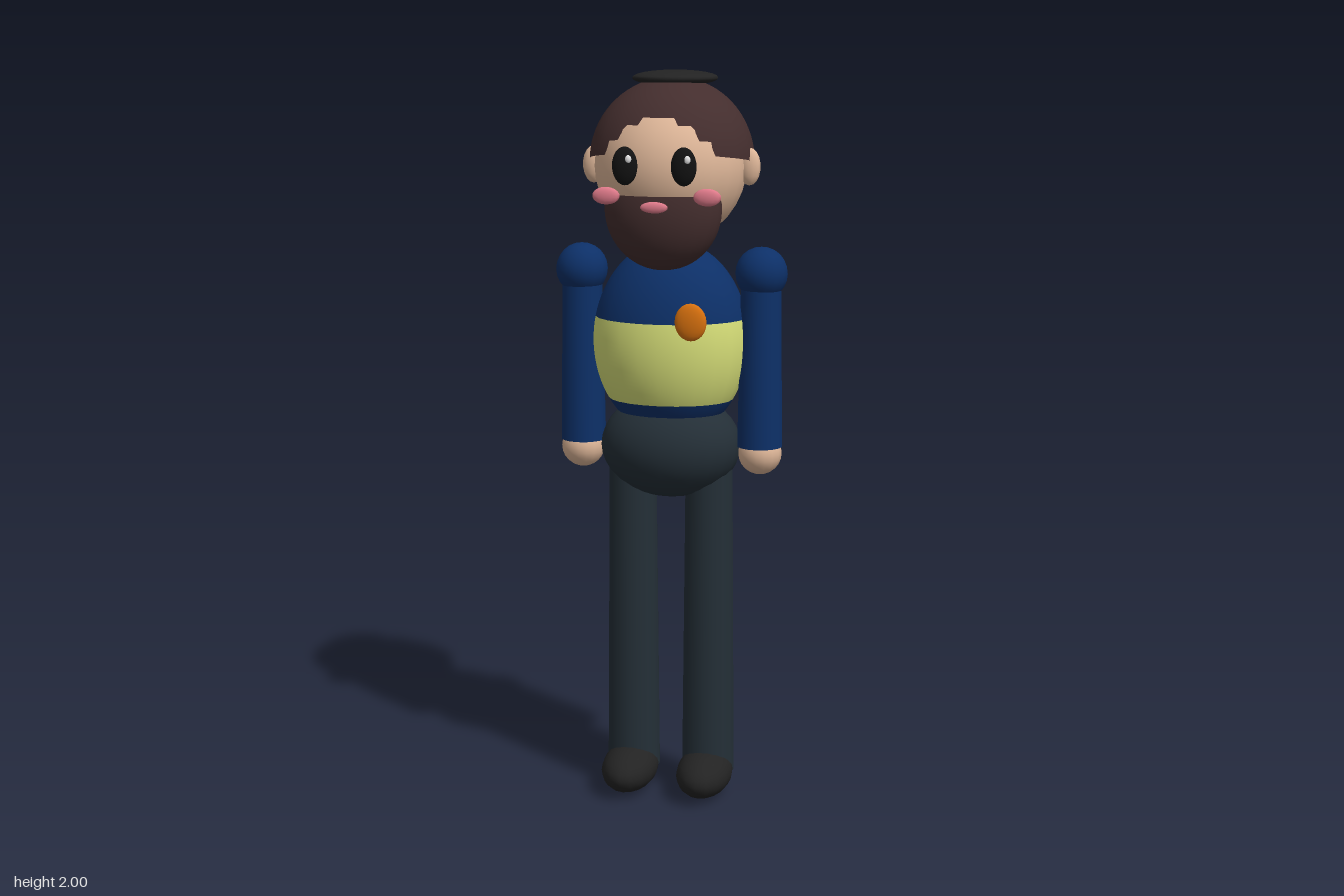
import * as THREE from 'three';

const mat = (name, color, side = THREE.FrontSide) => {
  const m = new THREE.MeshStandardMaterial({ color, side });
  m.name = name;
  return m;
};

export function createModel() {
  const skin = mat('skin', 0xdfb799);
  const hairBrown = mat('hair brown', 0x442e2e, THREE.DoubleSide);
  const navy = mat('navy', 0x0d3068);
  const lime = mat('lime', 0xd6de78);
  const slate = mat('slate', 0x242f37);
  const black = mat('soft black', 0x232323);
  const eyeBlack = mat('eye black', 0x131313);
  const pink = mat('pink', 0xe27c8c);
  const orange = mat('orange', 0xda720f);
  const white = mat('white', 0xffffff);

  const model = new THREE.Group();
  model.name = 'standingMan';

  // Ellipsoid, optionally limited to a band of polar angles
  function ball(name, material, pos, radii, segs = 16, t0 = 0, t1 = Math.PI) {
    const geo = new THREE.SphereGeometry(1, segs, Math.max(8, Math.round(segs * 0.75)), 0, Math.PI * 2, t0, t1 - t0);
    const mesh = new THREE.Mesh(geo, material);
    mesh.name = name;
    mesh.position.set(...pos);
    mesh.scale.set(...radii);
    model.add(mesh);
    return mesh;
  }

  // Upright tapered limb between two heights
  function limb(name, material, x, yTop, yBottom, rTop, rBottom) {
    const mesh = new THREE.Mesh(new THREE.CylinderGeometry(rTop, rBottom, yTop - yBottom, 16), material);
    mesh.name = name;
    mesh.position.set(x, (yTop + yBottom) / 2, 0);
    model.add(mesh);
  }

  // Head, tilted hair cap, beard and skullcap
  ball('head', skin, [0, 1.75, 0], [0.204, 0.205, 0.203], 24);
  const hair = ball('hair', hairBrown, [0, 1.762, -0.017], [0.222, 0.222, 0.207], 24, 0, Math.PI / 2);
  hair.rotation.x = -0.15;
  ball('beard', hairBrown, [0, 1.645, 0.095], [0.158, 0.165, 0.105], 24, 1.338);
  ball('skullcap', black, [0, 1.979, -0.053], [0.117, 0.021, 0.117]);
  ball('mouth', pink, [0, 1.656, 0.205], [0.037, 0.015, 0.008], 12);

  // Torso: one ellipsoid split into shirt and chest band
  const torsoPos = [0, 1.28, 0], torsoSize = [0.213, 0.27, 0.172];
  const bandTop = Math.acos((1.344 - 1.28) / 0.27);
  const bandBottom = Math.acos((1.12 - 1.28) / 0.27);
  ball('shirtTop', navy, torsoPos, torsoSize, 24, 0, bandTop);
  ball('chestBand', lime, torsoPos, torsoSize, 24, bandTop, bandBottom);
  ball('shirtBottom', navy, torsoPos, torsoSize, 24, bandBottom);
  ball('badge', orange, [0.09, 1.354, 0.17], [0.043, 0.05, 0.015]);
  ball('hips', slate, [0, 0.99, 0], [0.193, 0.145, 0.156], 24);

  // Paired parts
  for (const [side, s] of [['left', 1], ['right', -1]]) {
    ball(side + 'Ear', skin, [s * 0.213, 1.75, 0], [0.03, 0.05, 0.021], 12);
    ball(side + 'Eye', eyeBlack, [s * 0.078, 1.762, 0.202], [0.034, 0.05, 0.018]);
    ball(side + 'EyeGlint', white, [s * 0.078 + 0.012, 1.78, 0.215], [0.009, 0.011, 0.006], 8);
    ball(side + 'Cheek', pink, [s * 0.135, 1.682, 0.177], [0.037, 0.023, 0.011], 12);
    ball(side + 'Shoulder', navy, [s * 0.248, 1.467, 0], [0.071, 0.071, 0.071]);
    limb(side + 'Arm', navy, s * 0.247, 1.47, 0.995, 0.054, 0.062);
    ball(side + 'Hand', skin, [s * 0.248, 0.977, 0], [0.06, 0.06, 0.06]);
    limb(side + 'Leg', slate, s * 0.107, 0.98, 0.06, 0.065, 0.074);
    ball(side + 'Shoe', black, [s * 0.107, 0.064, 0.047], [0.077, 0.064, 0.132]);
  }

  return model;
}
